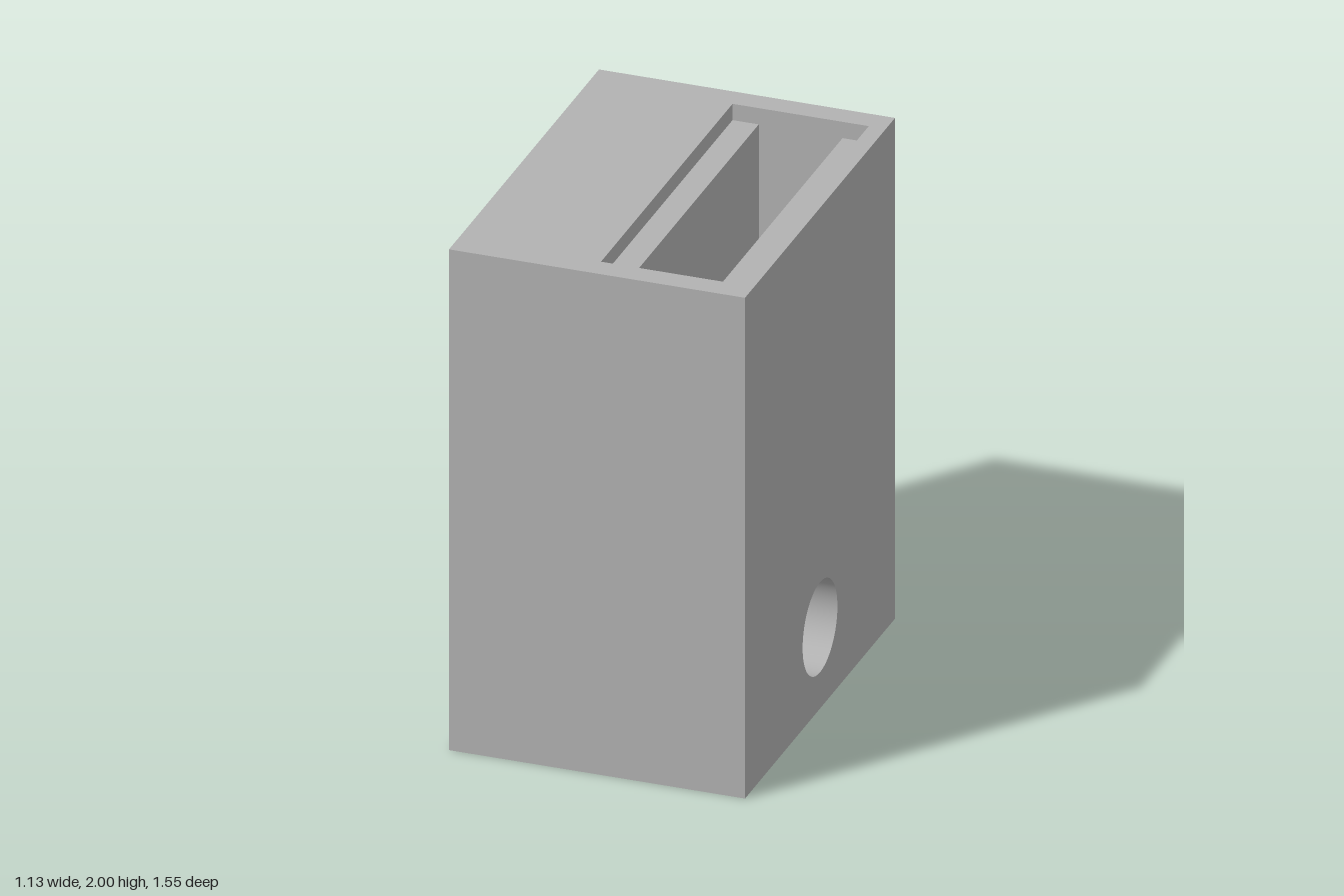
import * as THREE from 'three';

const W = 1.13, H = 2, D = 1.55;          // outer block
const SLOT_Z = 0.68;                      // half length of the top slot
const HOLE = { y: 0.325, r: 0.18, depth: 0.5 };

// Slot cross-section in x/y: shallow ledges on both sides of a deep channel
const slotProfile = [
  [-0.02, H], [-0.02, 1.935], [0.08, 1.935], [0.08, 0.7],
  [0.40, 0.7], [0.40, 1.935], [0.50, 1.935], [0.50, H],
].map(([x, y]) => new THREE.Vector2(x, y));

// Rectangle centred on the origin
function rectShape(w, h) {
  return new THREE.Shape([[-1, -1], [1, -1], [1, 1], [-1, 1]]
    .map(([x, y]) => new THREE.Vector2(x * w / 2, y * h / 2)));
}

// Walls, ledges and floor made by sweeping the profile along z
function sweepProfile(points, halfLength) {
  const positions = [];
  for (let i = 0; i < points.length - 1; i++) {
    const a = points[i], b = points[i + 1], z = halfLength;
    positions.push(
      a.x, a.y, z, b.x, b.y, z, b.x, b.y, -z,
      a.x, a.y, z, b.x, b.y, -z, a.x, a.y, -z);
  }
  const geometry = new THREE.BufferGeometry();
  geometry.setAttribute('position', new THREE.Float32BufferAttribute(positions, 3));
  geometry.computeVertexNormals();
  return geometry;
}

export function createModel() {
  const grey = new THREE.MeshStandardMaterial({ color: 0xb2b2b2, side: THREE.DoubleSide });
  grey.name = 'plain grey';

  const model = new THREE.Group();
  model.name = 'slottedBlock';

  function add(name, geometry, position = [0, 0, 0], rotation = [0, 0, 0], parent = model) {
    const mesh = new THREE.Mesh(geometry, grey);
    mesh.name = name;
    mesh.position.set(...position);
    mesh.rotation.set(...rotation);
    parent.add(mesh);
    return mesh;
  }

  // Plain outer faces
  const q = Math.PI / 2;
  add('frontFace', new THREE.PlaneGeometry(W, H), [0, H / 2, D / 2]);
  add('backFace', new THREE.PlaneGeometry(W, H), [0, H / 2, -D / 2], [0, Math.PI, 0]);
  add('plainSideFace', new THREE.PlaneGeometry(D, H), [-W / 2, H / 2, 0], [0, -q, 0]);
  add('bottomFace', new THREE.PlaneGeometry(W, D), [0, 0, 0], [q, 0, 0]);

  // Top face, cut out for the slot
  const top = rectShape(W, D);
  top.holes.push(new THREE.Path([[-0.02, -1], [-0.02, 1], [0.5, 1], [0.5, -1]]
    .map(([x, s]) => new THREE.Vector2(x, s * SLOT_Z))));
  add('topFace', new THREE.ShapeGeometry(top), [0, H, 0], [-q, 0, 0]);

  // Side face, cut out for the round hole
  const side = rectShape(D, H);
  side.holes.push(new THREE.Path().absarc(0, HOLE.y - H / 2, HOLE.r, 0, Math.PI * 2, true));
  add('holeSideFace', new THREE.ShapeGeometry(side, 32), [W / 2, H / 2, 0], [0, q, 0]);

  // Stepped slot with its two end walls
  const slot = new THREE.Group();
  slot.name = 'steppedSlot';
  model.add(slot);
  add('slotWalls', sweepProfile(slotProfile, SLOT_Z), [0, 0, 0], [0, 0, 0], slot);
  const endWall = new THREE.ShapeGeometry(new THREE.Shape(slotProfile));
  add('slotBackWall', endWall, [0, 0, -SLOT_Z], [0, 0, 0], slot);
  add('slotFrontWall', endWall, [0, 0, SLOT_Z], [0, 0, 0], slot);

  // Round blind hole
  const hole = new THREE.Group();
  hole.name = 'roundHole';
  model.add(hole);
  add('holeWall', new THREE.CylinderGeometry(HOLE.r, HOLE.r, HOLE.depth, 64, 1, true),
    [W / 2 - HOLE.depth / 2, HOLE.y, 0], [0, 0, q], hole);
  add('holeEnd', new THREE.CircleGeometry(HOLE.r, 64),
    [W / 2 - HOLE.depth, HOLE.y, 0], [0, q, 0], hole);

  return model;
}
